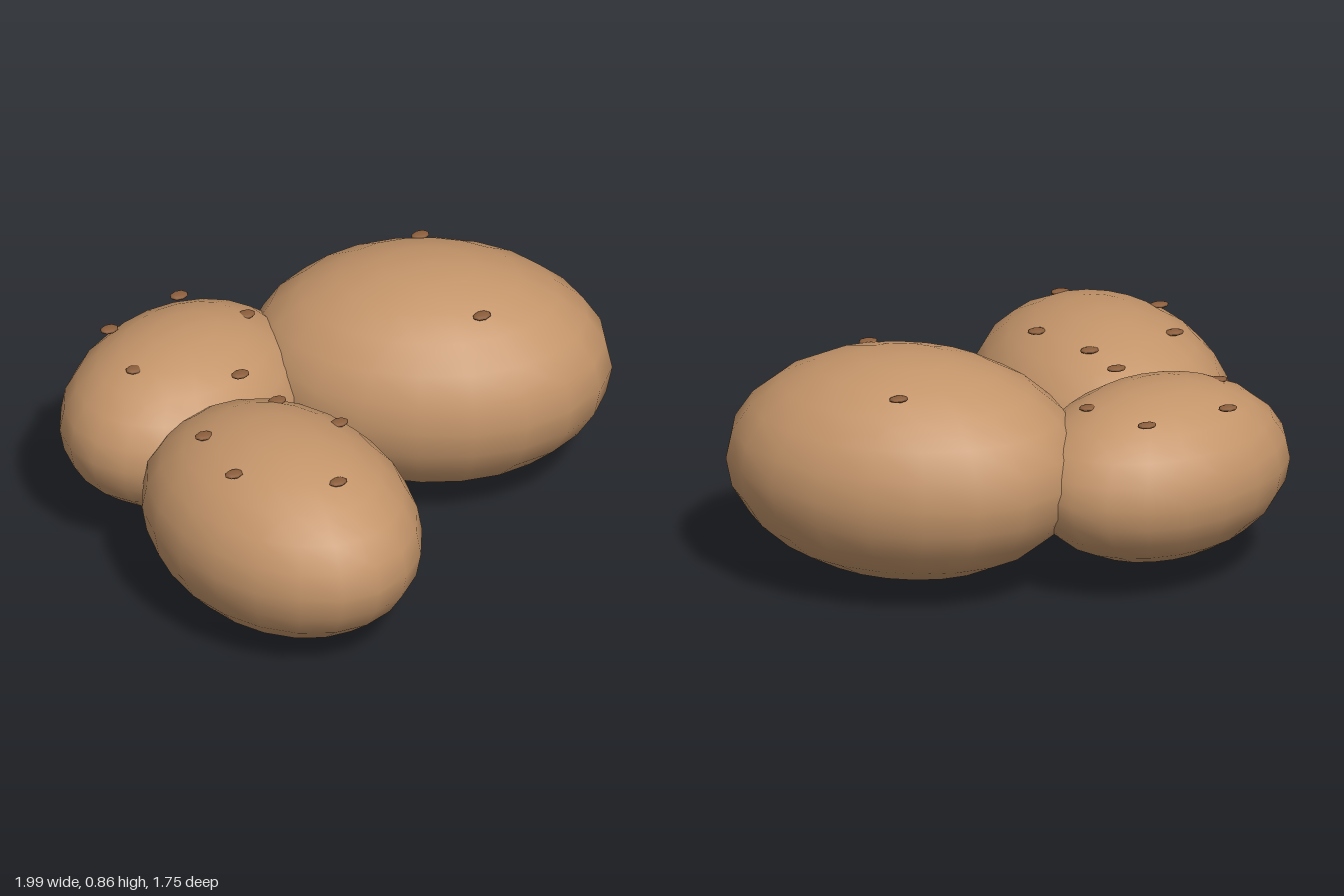
import * as THREE from 'three';

const skin = new THREE.MeshStandardMaterial({ color: 0xc4956a });
const eyeSkin = new THREE.MeshStandardMaterial({ color: 0x8b5e3c });
const bodyGeometry = new THREE.SphereGeometry(1, 20, 12);
const eyeGeometry = new THREE.SphereGeometry(1, 8, 6);

// Each potato: centre, radii (z is the long axis), turn in degrees,
// height of its eyes, and the eyes' x, z positions
const potatoes = [
  {
    name: 'frontPotato', centre: [-0.55, 0.37, 0.28], radii: [0.447, 0.365, 0.592], turn: 0, eyeY: 0.68,
    eyes: [[-0.74, 0.07], [-0.395, 0.035], [-0.8, 0.335], [-0.3, 0.28], [-0.53, 0.592]],
  },
  {
    name: 'largePotato', centre: [0.4, 0.455, -0.15], radii: [0.5, 0.41, 0.654], turn: 50, eyeY: 0.8,
    eyes: [[0.54, -0.395], [0.41, 0.16]],
  },
  {
    name: 'backPotato', centre: [-0.43, 0.415, -0.476], radii: [0.395, 0.32, 0.517], turn: 105, eyeY: 0.685,
    eyes: [[-0.61, -0.685], [-0.28, -0.72], [-0.69, -0.42], [-0.16, -0.48], [-0.405, -0.175]],
  },
];

function makePotato({ name, centre, radii, turn, eyeY, eyes }) {
  const potato = new THREE.Group();
  potato.name = name;

  // Smooth ellipsoid body
  const body = new THREE.Mesh(bodyGeometry, skin);
  body.name = 'body';
  body.position.set(...centre);
  body.scale.set(...radii);
  body.rotation.y = THREE.MathUtils.degToRad(turn);
  potato.add(body);

  // Small flat eyes lying level near the top
  for (const [x, z] of eyes) {
    const eye = new THREE.Mesh(eyeGeometry, eyeSkin);
    eye.name = 'eye';
    eye.position.set(x, eyeY, z);
    eye.scale.set(0.036, 0.01, 0.027);
    potato.add(eye);
  }
  return potato;
}

export function createModel() {
  const group = new THREE.Group();
  group.name = 'potatoPile';
  for (const spec of potatoes) group.add(makePotato(spec));
  return group;
}
